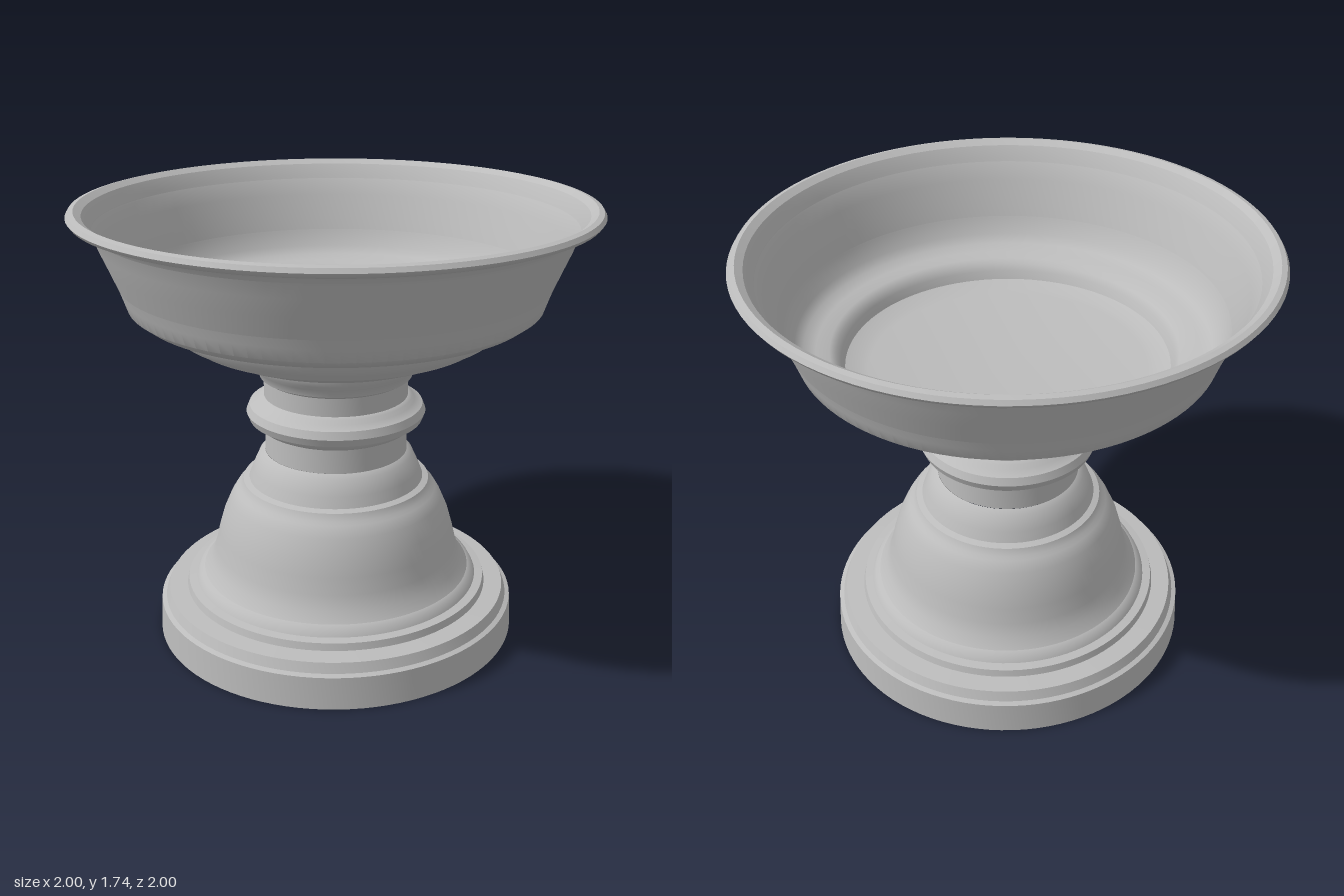
import * as THREE from 'three';
import { toCreasedNormals } from 'three/addons/utils/BufferGeometryUtils.js';

const SEGMENTS = 96;

// Profiles are [radius, height] pairs, running upward along the outside.
const FOOT = [
  [0.725, 0], [0.718, 0.13], [0.7, 0.137], [0.685, 0.175], [0.612, 0.18],
  [0.605, 0.208], [0.572, 0.213], [0.558, 0.24], [0.54, 0.25],
];
const BELL = [
  [0.54, 0.25], [0.51, 0.29], [0.49, 0.345], [0.475, 0.41], [0.455, 0.48],
  [0.425, 0.55], [0.4, 0.592], [0.385, 0.602], [0.372, 0.63], [0.348, 0.638],
  [0.332, 0.68], [0.305, 0.74], [0.283, 0.755],
];
const NECK = [
  [0.283, 0.755], [0.28, 0.85], [0.3, 0.86], [0.312, 0.88], [0.342, 0.89],
  [0.354, 0.92], [0.342, 0.95], [0.31, 0.965], [0.3, 0.98], [0.284, 0.987],
  [0.284, 1.06], [0.3, 1.07], [0.31, 1.1], [0.33, 1.12], [0.335, 1.145],
];
const BOWL_OUTSIDE = [
  [0.335, 1.145], [0.37, 1.16], [0.4, 1.165], [0.45, 1.18], [0.5, 1.2],
  [0.53, 1.22], [0.57, 1.23], [0.59, 1.255], [0.62, 1.26], [0.638, 1.28],
  [0.65, 1.31], [0.67, 1.32], [0.7, 1.33], [0.755, 1.34], [0.795, 1.37],
  [0.812, 1.42], [0.84, 1.5], [0.88, 1.6], [0.905, 1.66], [0.932, 1.695],
];
const RIM = [
  [0.932, 1.695], [0.965, 1.698], [0.99, 1.708], [1, 1.722], [0.99, 1.738],
  [0.97, 1.743], [0.942, 1.725],
];
// The inside runs downward to the flat floor.
const BOWL_INSIDE = [
  [0.942, 1.725], [0.915, 1.68], [0.89, 1.61], [0.86, 1.54], [0.822, 1.45],
  [0.795, 1.39], [0.765, 1.36], [0.72, 1.345], [0.67, 1.338], [0.645, 1.325],
  [0.63, 1.3], [0.617, 1.268], [0.6, 1.262], [0.56, 1.252], [0.53, 1.247], [0, 1.247],
];

export function createModel() {
  const stone = new THREE.MeshStandardMaterial({ color: 0xbcbcbc, side: THREE.DoubleSide });
  stone.name = 'grey stone';
  const group = new THREE.Group();
  group.name = 'pedestalBowl';

  // Turn a profile around the upright axis; zScale makes it slightly oval.
  const turn = (name, profile, zScale = 1) => {
    const points = profile.map(([r, y]) => new THREE.Vector2(r, y));
    const lathe = new THREE.LatheGeometry(points, SEGMENTS).scale(1, 1, zScale);
    const mesh = new THREE.Mesh(toCreasedNormals(lathe, 0.6), stone);
    mesh.name = name;
    group.add(mesh);
  };

  // Hollow pedestal, open underneath
  turn('foot', FOOT, 1.015);
  turn('bell', BELL, 1.015);
  turn('collaredNeck', NECK, 1.01);

  // Bowl with rolled rim and flat floor
  turn('bowlOutside', BOWL_OUTSIDE);
  turn('rim', RIM);
  turn('bowlInside', BOWL_INSIDE);

  return group;
}
